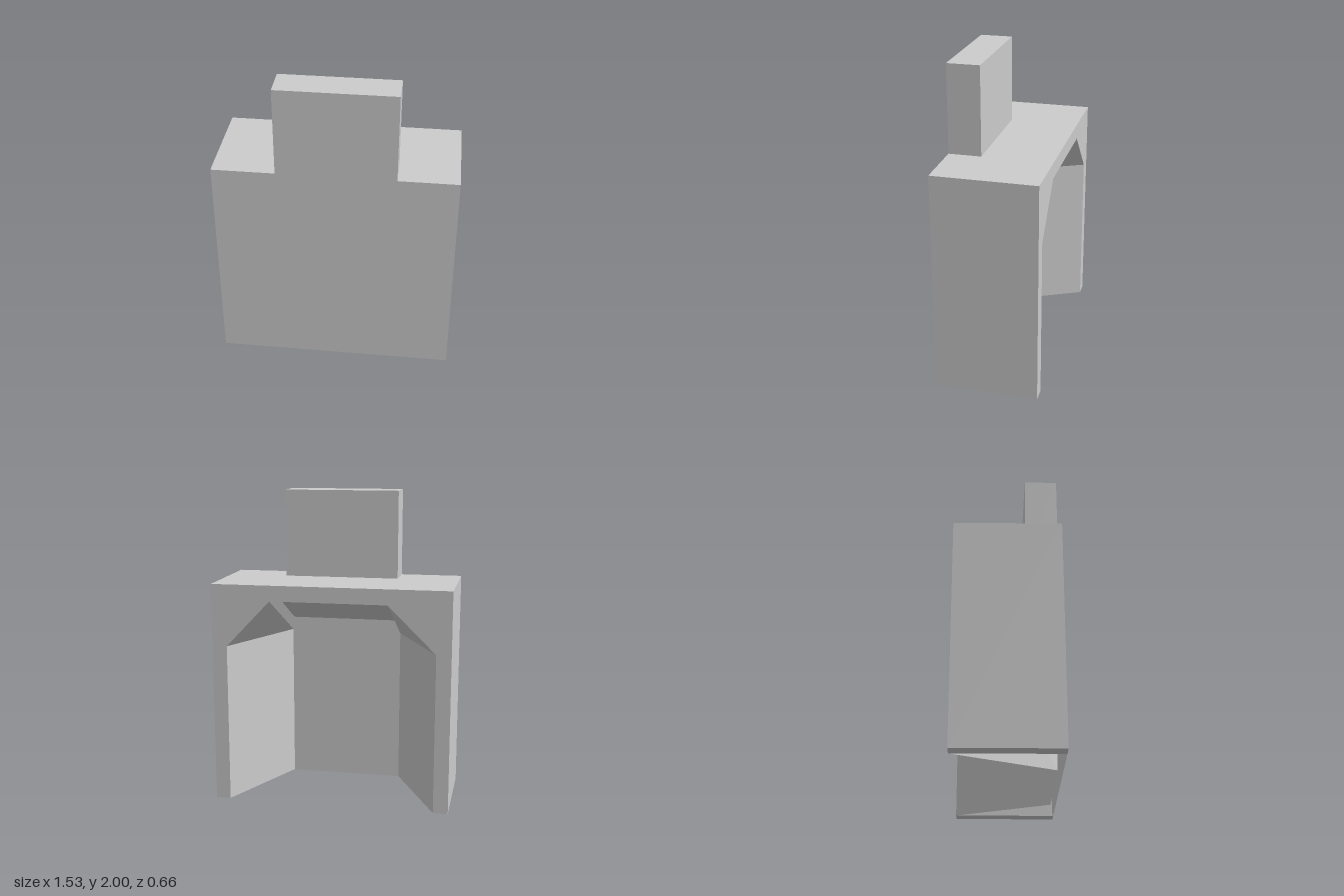
import * as THREE from 'three';

export function createModel() {
  const group = new THREE.Group();
  const mat = new THREE.MeshStandardMaterial({ color: 0xcccccc, side: THREE.DoubleSide, flatShading: true });

  // Main sizes
  const W = 0.765, H = 1.43, F = 0.33, B = -0.33;      // outer shell: half width, height, front, back
  const R = -0.365, L = 0.385;                         // chimney and firebox inner width
  const C = 0.12, TOP = 2, HOOD = 1.11;                // chimney back, chimney top, foot of the hood
  const JAMB = 0.67, SPRING = 1.03, HEAD = 1.33, IN = 0.295; // firebox opening and inner wall

  const add = (name, geo) => {
    const mesh = new THREE.Mesh(geo, mat);
    mesh.name = name;
    group.add(mesh);
    return mesh;
  };

  // Flat convex panel from corners listed counter-clockwise as seen from its face
  const panel = (name, ...corners) => {
    const geo = new THREE.BufferGeometry();
    geo.setAttribute('position', new THREE.Float32BufferAttribute(corners.flat(), 3));
    const index = [];
    for (let i = 1; i < corners.length - 1; i++) index.push(0, i, i + 1);
    geo.setIndex(index);
    geo.computeVertexNormals();
    return add(name, geo);
  };

  // Flat outline in x and y
  const outline = (pts) => new THREE.ShapeGeometry(new THREE.Shape(pts.map(([x, y]) => new THREE.Vector2(x, y))));

  // Front wall, notched for the chimney breast
  add('frontWall', outline([[-W, 0], [W, 0], [W, H], [L, H], [L, HOOD], [R, HOOD], [R, H], [-W, H]]))
    .position.z = F;

  // Back wall with the chamfered firebox opening
  const back = outline([[-W, 0], [-JAMB, 0], [-JAMB, SPRING], [R, HEAD], [L, HEAD], [JAMB, SPRING],
    [JAMB, 0], [W, 0], [W, H], [-W, H]]);
  back.scale(-1, 1, 1).rotateY(Math.PI).translate(0, 0, B);
  // the mirror reverses the faces, so turn the winding back
  back.setIndex([...back.index.array].reverse());
  back.computeVertexNormals();
  add('backWall', back);

  // Mantel top, cut out around the chimney
  const mantel = outline([[-W, -F], [R, -F], [R, -C], [L, -C], [L, -F], [W, -F], [W, -B], [-W, -B]]);
  mantel.rotateX(-Math.PI / 2).translate(0, H, 0);
  add('mantelTop', mantel);

  // Outer sides, jamb feet, splayed firebox walls and sloping shoulders
  for (const s of [1, -1]) {
    const x = s > 0 ? L : R;
    const side = s > 0 ? 'left' : 'right';
    const put = (name, ...c) => panel(side + name, ...(s > 0 ? c : c.reverse()));
    put('Side', [s * W, 0, F], [s * W, 0, B], [s * W, H, B], [s * W, H, F]);
    put('JambFoot', [s * W, 0, B], [s * W, 0, F], [s * JAMB, 0, F], [s * JAMB, 0, B]);
    put('SplayedWall', [s * JAMB, 0, B], [x, 0, IN], [x, SPRING, IN], [s * JAMB, SPRING, B]);
    put('Shoulder', [s * JAMB, SPRING, B], [x, SPRING, IN], [x, HEAD, B]);
    put('ChimneySide', [x, H, F], [x, H, C], [x, TOP, C], [x, TOP, F]);
  }

  // Inner wall of the firebox and the hood sloping up to the back
  panel('fireboxWall', [L, 0, IN], [R, 0, IN], [R, SPRING, IN], [L, SPRING, IN]);
  panel('hood', [L, HOOD, F], [R, HOOD, F], [R, H, B], [L, H, B]);

  // Chimney
  panel('chimneyFront', [R, HOOD, F], [L, HOOD, F], [L, TOP, F], [R, TOP, F]);
  panel('chimneyBack', [L, H, C], [R, H, C], [R, TOP, C], [L, TOP, C]);
  panel('chimneyTop', [R, TOP, F], [L, TOP, F], [L, TOP, C], [R, TOP, C]);

  return group;
}
